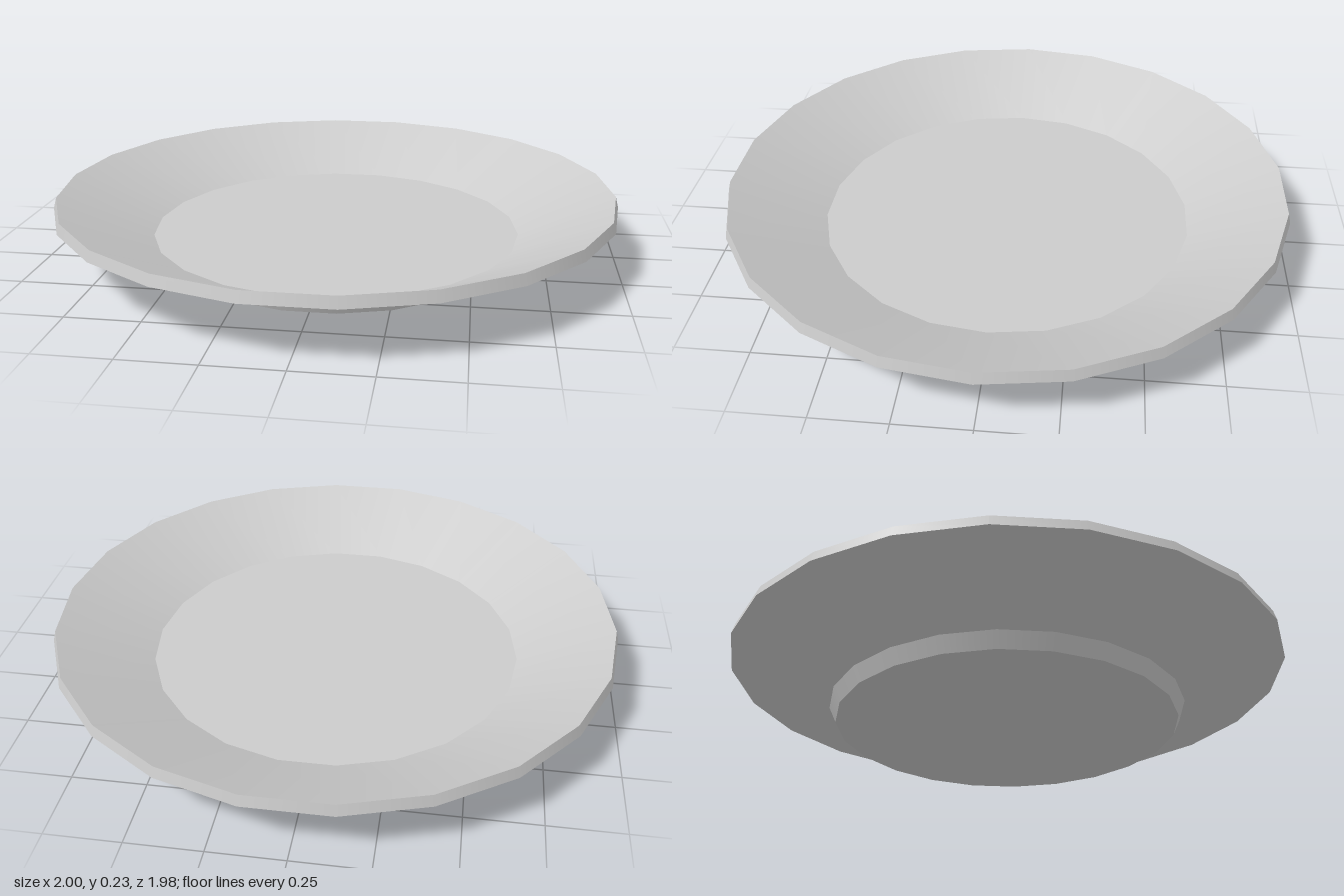
import * as THREE from 'three';

const SIDES = 22;

export function createModel() {
  const plate = new THREE.Group();
  plate.name = 'plate';
  const material = new THREE.MeshStandardMaterial({ color: 0xcccccc });

  // A ring between two profile points [radius, y], smooth around and sharp at its edges
  const band = (name, from, to) => {
    const points = [from, to].map(([r, y]) => new THREE.Vector2(r, y));
    const geometry = new THREE.LatheGeometry(points, SIDES, Math.PI / 2);
    const mesh = new THREE.Mesh(geometry, material);
    mesh.name = name;
    plate.add(mesh);
  };

  // A flat disc facing up or down
  const disc = (name, radius, y, up) => {
    const geometry = new THREE.CircleGeometry(radius, SIDES);
    geometry.rotateX(up ? -Math.PI / 2 : Math.PI / 2);
    const mesh = new THREE.Mesh(geometry, material);
    mesh.name = name;
    mesh.position.y = y;
    plate.add(mesh);
  };

  // Profile from the underside, out over the rim and back down to the floor
  disc('footBottom', 0.615, 0, false);
  band('footRing', [0.615, 0], [0.64, 0.055]);
  band('outerWall', [0.64, 0.055], [1, 0.19]);
  band('rim', [1, 0.19], [0.99, 0.227]);
  band('innerWall', [0.99, 0.227], [0.66, 0.072]);
  disc('floor', 0.66, 0.072, true);

  return plate;
}
